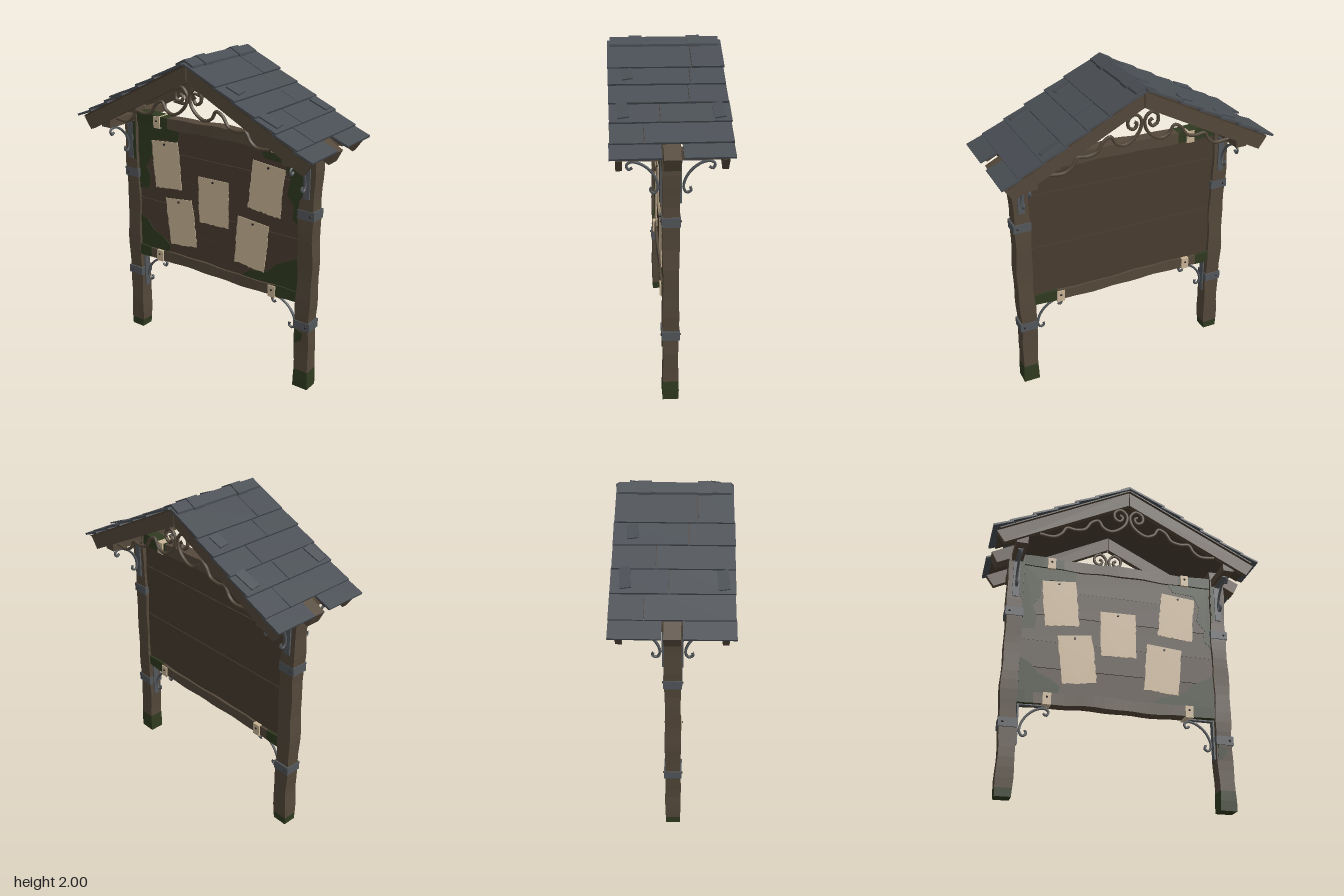
import * as THREE from 'three';

const mat = (name, color, side = THREE.FrontSide) => new THREE.MeshStandardMaterial({ name, color, side });
const wood = mat('weathered wood', 0x54483a);
const board = mat('dark board wood', 0x483c30);
const moss = mat('moss green', 0x303a20);
const slate = mat('slate grey', 0x494e54);
const paper = mat('old paper', 0xc8b496);
const iron = mat('iron grey', 0x53575b);
const dark = mat('nail black', 0x25221f);

let seed = 7;
const rnd = () => (seed = (seed * 16807) % 2147483647) / 2147483647;
const V = (x, y, z = 0) => new THREE.Vector3(x, y, z);

function add(parent, name, geo, material, x = 0, y = 0, z = 0) {
  const m = new THREE.Mesh(geo, material);
  m.name = name;
  m.position.set(x, y, z);
  parent.add(m);
  return m;
}
const box = (w, h, d) => new THREE.BoxGeometry(w, h, d);

function polygon(points, depth, bevel = false) {
  const shape = new THREE.Shape(points.map(([x, y]) => new THREE.Vector2(x, y)));
  return new THREE.ExtrudeGeometry(shape, { depth, bevelEnabled: bevel });
}

// Hand-hewn beam running from a to b along x or y, with a gentle wave
function hewn(axis, a, b, thick, depth, phase, amp = 0.004) {
  const n = Math.max(2, Math.round((b - a) / 0.06));
  const along = axis === 'x';
  let g = along ? new THREE.BoxGeometry(b - a, thick, depth, n, 1, 1) : new THREE.BoxGeometry(thick, b - a, depth, 1, n, 1);
  g.translate(along ? (a + b) / 2 : 0, along ? 0 : (a + b) / 2, 0);
  const p = g.attributes.position;
  for (let i = 0; i < p.count; i++) {
    const v = V(p.getX(i), p.getY(i), p.getZ(i));
    const t = along ? v.x : v.y, u = along ? v.y : v.x;
    const du = amp * (Math.sin(9 * t + phase) + Math.sign(u) * 0.7 * Math.sin(23 * t + phase));
    const dz = amp * 0.6 * Math.sin(13 * t + phase) * Math.sign(v.z);
    if (along) v.y += du; else v.x += du;
    p.setXYZ(i, v.x, v.y, v.z + dz);
  }
  g = g.toNonIndexed();
  g.computeVertexNormals();
  return g;
}

const tube = (pts, r, n = 48) => new THREE.TubeGeometry(new THREE.CatmullRomCurve3(pts), n, r, 6);

// Curled iron bracket in the corner between an upright and a beam
function bracket(name) {
  const g = new THREE.Group();
  g.name = name;
  const path = [[.055, -.16], [.062, -.182], [.04, -.195], [.022, -.17], [.03, -.12], [.065, -.065], [.12, -.026],
    [.165, -.018], [.188, -.035], [.176, -.06], [.156, -.048]];
  add(g, 'scroll', tube(path.map(([u, v]) => V(u, v)), 0.008), iron);
  add(g, 'strap', box(0.01, 0.25, 0.04), iron, 0.006, -0.125, 0);
  add(g, 'topStrap', box(0.16, 0.008, 0.03), iron, 0.08, -0.006, 0);
  return g;
}

// Sheet of paper with ragged edges and a nail
function notice(x, y, w, h, turn) {
  const g = new THREE.Group();
  g.name = 'notice';
  const pts = [], n = 14, j = () => (rnd() - 0.5) * 0.009;
  for (let i = 0; i < n; i++) pts.push([w * (i / n - 0.5), -h / 2 + j()]);
  for (let i = 0; i < n; i++) pts.push([w / 2 + j(), h * (i / n - 0.5)]);
  pts.push([w / 2, h / 2], [-w / 2, h / 2]);
  for (let i = 1; i < n; i++) pts.push([-w / 2 + j(), h * (0.5 - i / n)]);
  add(g, 'sheet', polygon(pts, 0.004), paper);
  const nail = add(g, 'nail', new THREE.CylinderGeometry(0.007, 0.007, 0.01, 8), dark, 0, h / 2 - 0.02, 0.006);
  nail.rotation.x = Math.PI / 2;
  g.position.set(x, y, 0.033);
  g.rotation.z = turn;
  return g;
}

const SLOPE = 0.51, A = Math.atan(SLOPE), C = Math.cos(A), APEX = 1.955;

// One roof slope: sheathing, overlapping slabs, loose pieces
function roofSlope(name) {
  const side = new THREE.Group(), s = new THREE.Group();
  side.name = name;
  side.add(s);
  s.position.y = APEX;
  s.rotation.z = -A;
  const notch = 0.055, half = 0.32;
  add(s, 'sheathing', box(0.71 / C, 0.008, 0.62), board, 0.355 / C, 0.004, 0);
  const rows = [0, 0.2, 0.325, 0.455, 0.585, 0.72, 0.832];
  for (let i = 0; i < 6; i++) {
    const last = i === 5, a = rows[i] / C, b = rows[i + 1] / C + (last ? 0 : 0.018);
    const cut = (rnd() - 0.5) * 0.3;
    const spans = last ? [[-half, -notch], [notch, half]] : [[-half, cut - 0.002], [cut + 0.002, half]];
    for (const [z0, z1] of spans) {
      const e0 = z0 === -half ? z0 - rnd() * 0.008 : z0, e1 = z1 === half ? z1 + rnd() * 0.008 : z1;
      const slab = add(s, 'slateSlab', box(b - a, 0.012, e1 - e0), slate, (a + b) / 2, 0.018 + rnd() * 0.002, (e0 + e1) / 2);
      slab.rotation.z = 0.012 / (b - a);
      slab.rotation.y = (rnd() - 0.5) * 0.012;
      if (last) add(s, 'eaveSheathing', box(0.1, 0.008, z1 - z0 - 0.02), board, 0.85, 0.004, (z0 + z1) / 2);
    }
  }
  for (const [x, z, w] of [[0.52, 0.25, 0.13], [0.53, -0.26, 0.12], [0.27, 0.22, 0.09]]) {
    const chip = add(s, 'looseSlab', box(w, 0.008, 0.06), slate, x / C, 0.033, z);
    chip.rotation.set(0.12, 0.08, 0.06);
  }
  return side;
}

// Inverted V section centred on x = 0
const chevron = (top, reach, t, depth) => {
  const d = reach * SLOPE;
  return polygon([[0, top], [-reach, top - d], [-reach, top - d - t], [0, top - t], [reach, top - d - t], [reach, top - d]], depth)
    .translate(0, 0, -depth / 2);
};

export function createModel() {
  const root = new THREE.Group();
  root.name = 'noticeBoard';

  // Posts with moss, bands, cross beams and brackets
  for (const s of [-1, 1]) {
    const post = new THREE.Group();
    post.name = s > 0 ? 'leftPost' : 'rightPost';
    post.position.x = s * 0.66;
    root.add(post);
    const base = s > 0 ? 0.12 : 0.05;
    add(post, 'mossyFoot', hewn('y', 0, base, 0.098, 0.09, s), moss);
    add(post, 'shaft', hewn('y', base, 1.16, 0.098, 0.09, s), wood);
    add(post, 'upperShaft', hewn('y', 1.16, 1.6, 0.094, 0.096, s), wood);
    for (const y of [0.43, 1.14]) {
      add(post, 'ironBand', box(0.11, 0.055, 0.104), iron, 0, y, 0);
      for (const z of [-1, 1]) add(post, 'rivet', new THREE.SphereGeometry(0.007, 8, 6), dark, s * 0.03, y, z * 0.052);
    }
    const patch = [[-.045, 1.22], [-.02, 1.26], [-.015, 1.33], [-.028, 1.38], [-.01, 1.43], [.02, 1.45], [.02, 1.49], [-.045, 1.49]];
    const m = add(post, 'mossPatch', polygon(patch.map(([x, y]) => [x * s, y]), 0.003), moss, 0, 0, 0.05);
    if (s > 0) add(post, 'lowMossPatch', polygon([[-.045, .3], [0, .33], [.01, .38], [-.045, .4]], 0.003), moss, 0, 0, 0.046);
    m.castShadow = false;

    add(post, 'crossBeam', box(0.07, 0.05, 0.54), wood, 0, 1.515, 0);
    for (const z of [-1, 1]) {
      const b = bracket('roofBracket');
      b.position.set(0, 1.49, z * 0.047);
      b.rotation.y = -z * Math.PI / 2;
      post.add(b);
    }
    const low = bracket('lowerBracket');
    low.position.set(-s * 0.052, 0.565, 0);
    if (s > 0) low.rotation.y = Math.PI;
    post.add(low);

    // Short rafter tail under the eave notch
    const tail = add(root, 'rafterTail', box(0.13, 0.08, 0.09), wood, s * 0.745, 1.53, 0);
    tail.rotation.z = -s * A;
  }

  // Board planks
  for (let i = 0; i < 5; i++) {
    const h = 0.88 / 5;
    add(root, 'boardPlank', box(1.24, h - 0.002, 0.05 + (i % 2) * 0.005), board, 0, 0.62 + h * (i + 0.5), 0);
  }
  // Rails with mossy ends
  for (const [name, y, a, b, ph] of [['topRail', 1.513, -0.36, 0.4, 1], ['bottomRail', 0.6, -0.52, 0.46, 3]]) {
    add(root, name, hewn('x', a, b, 0.07, 0.08, ph), wood, 0, y, 0);
    add(root, name + 'MossRight', hewn('x', -0.615, a, 0.07, 0.08, ph), moss, 0, y, 0);
    add(root, name + 'MossLeft', hewn('x', b, 0.615, 0.07, 0.08, ph), moss, 0, y, 0);
    for (const x of [-0.44, 0.44]) {
      add(root, 'railClip', box(0.05, 0.075, 0.1), paper, x, y - 0.005, 0);
      for (const z of [-1, 1]) add(root, 'clipNail', new THREE.SphereGeometry(0.007, 8, 6), dark, x, y + 0.005, z * 0.05);
    }
  }
  // Moss creeping over the front of the board
  const patches = [
    [[-.61, 1.04], [-.53, 1.05], [-.52, 1.14], [-.55, 1.2], [-.5, 1.28], [-.5, 1.38], [-.4, 1.4], [-.29, 1.39], [-.27, 1.48], [-.61, 1.48]],
    [[-.61, .63], [-.38, .63], [-.36, .68], [-.42, .73], [-.5, .76], [-.55, .82], [-.61, .85]],
    [[.61, 1.05], [.56, 1.09], [.57, 1.17], [.52, 1.23], [.54, 1.33], [.5, 1.41], [.36, 1.42], [.33, 1.48], [.61, 1.48]],
    [[.61, .63], [.2, .63], [.27, .68], [.4, .71], [.47, .78], [.61, .85]],
  ];
  for (const p of patches) add(root, 'boardMoss', polygon(p, 0.003), moss, 0, 0, 0.0275);

  // Notices
  for (const n of [[-.375, 1.236, .215, .31, .09], [-.005, 1.065, .228, .3, .02], [.38, 1.236, .225, .305, -.1],
    [-.263, .87, .215, .315, .12], [.28, .86, .225, .31, -.09]]) root.add(notice(...n));

  // Gable rafters and their scrollwork, front and back
  const arm = [[0.82, 1.537], [0.77, 1.465], [0.003, 1.858]];
  const scroll = [[.56, 1.565], [.47, 1.56], [.425, 1.59], [.395, 1.635], [.34, 1.63], [.28, 1.645], [.24, 1.7], [.195, 1.72],
    [.165, 1.675], [.115, 1.655], [.06, 1.68], [.018, 1.73], [.012, 1.79], [.05, 1.825], [.09, 1.8], [.088, 1.755],
    [.055, 1.74], [.038, 1.77], [.058, 1.785]];
  for (const z of [-0.275, 0.275]) {
    for (const s of [-1, 1]) {
      const pts = [[0.003, APEX], ...arm].map(([x, y]) => [s * x, y]);
      add(root, 'gableRafter', polygon(pts, 0.034), wood, 0, 0, z - 0.017);
      add(root, 'gableScroll', tube(scroll.map(([x, y]) => V(s * x, y)), 0.01, 90), wood, 0, 0, z);
    }
  }

  // Roof
  const left = roofSlope('leftRoofSlope'), right = roofSlope('rightRoofSlope');
  right.rotation.y = Math.PI;
  root.add(left, right);
  add(root, 'ridgeCap', chevron(1.992, 0.06, 0.014, 0.62), slate);
  for (const z of [-0.165, 0.165]) add(root, 'ridgeClamp', chevron(2.0, 0.07, 0.016, 0.075), slate, 0, 0, z);

  return root;
}
